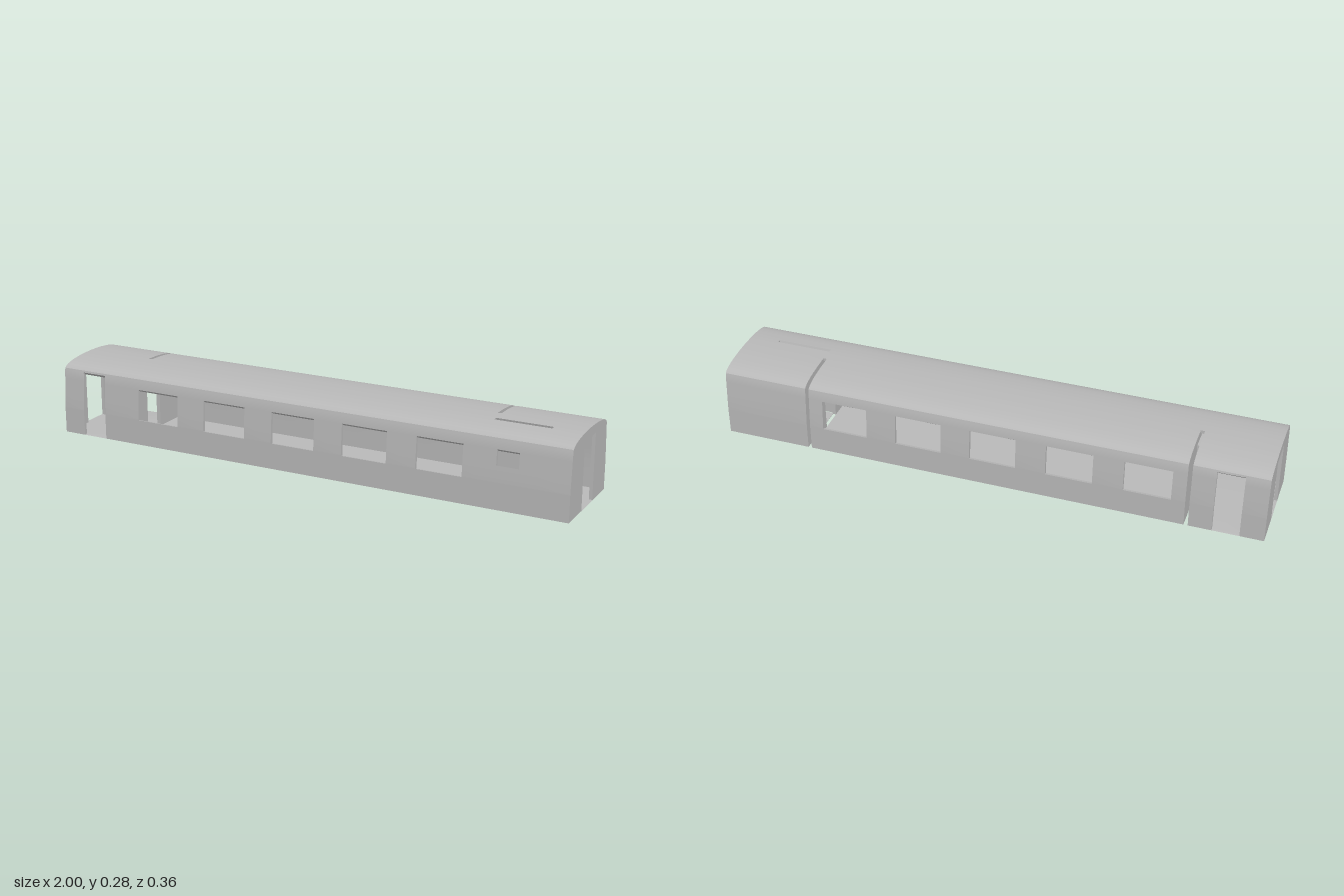
import * as THREE from 'three';
import { toCreasedNormals } from 'three/addons/utils/BufferGeometryUtils.js';

// Half cross-section as [z, y], from the roof ridge down the side to the floor centre
const half = [[0, 0.277], [0.05, 0.2755], [0.065, 0.2745], [0.1, 0.271], [0.125, 0.267], [0.148, 0.261],
  [0.16, 0.255], [0.166, 0.249], [0.168, 0.242], [0.1703, 0.21], [0.1742, 0.155], [0.178, 0.1],
  [0.178, 0.095], [0.178, 0], [0.065, 0], [0.05, 0], [0, 0]];
const ring = [...half, ...half.slice(0, -1).reverse().map(([z, y]) => [-z, y])];
const inset = ([z, y]) => [z * 0.935, 0.002 + y * 0.95];

const between = (v, a, b) => v > a && v < b;
const windows = [[-0.67, -0.5], [-0.39, -0.22], [-0.11, 0.06], [0.168, 0.34], [0.45, 0.62]];
const door = [-0.915, -0.818];
const smallWindow = [0.74, 0.82];
const slots = [[-0.735, -0.72], [0.672, 0.685]];
const closet = [0.685, 0.89], closetEnd = [0.877, 0.89];

// True where the shell is cut away
function isOpen(x, y, z) {
  const inside = ([a, b]) => between(x, a, b);
  const floor = y < 0.001, roof = y > 0.243;
  if (slots.some(inside) && (floor || z < 0)) return true;
  if ((floor || roof) && inside(closet) && between(z, 0.05, 0.065)) return true;
  if (floor) return inside(closetEnd) && z > 0.05;
  if (roof) return false;
  if (inside(door)) return true;
  if (between(y, 0.095, 0.21) && windows.some(inside)) return true;
  return z > 0 && between(y, 0.155, 0.21) && inside(smallWindow);
}

// Thick body shell swept along x, with openings and their reveals
function shellGeometry() {
  const cuts = [-1, 1, ...[...windows, door, smallWindow, ...slots, closet, closetEnd].flat()];
  const xs = [...new Set(cuts)].sort((a, b) => a - b);
  const inner = ring.map(inset);
  const n = ring.length - 1, m = xs.length - 1;
  const pos = [];
  const quad = (a, b, c, d) => pos.push(...a, ...b, ...c, ...a, ...c, ...d);
  const out = (i, j) => [xs[i], ring[j][1], ring[j][0]];
  const inn = (i, j) => [xs[i], inner[j][1], inner[j][0]];
  const solid = (i, j) => {
    if (i < 0 || i >= m) return true;
    const a = ring[(j + n) % n], b = ring[(j + n) % n + 1];
    return !isOpen((xs[i] + xs[i + 1]) / 2, (a[1] + b[1]) / 2, (a[0] + b[0]) / 2);
  };
  for (let i = 0; i < m; i++) {
    for (let j = 0; j < n; j++) {
      if (!solid(i, j)) continue;
      const k = i + 1, l = j + 1;
      quad(out(i, j), out(i, l), out(k, l), out(k, j));
      quad(inn(i, j), inn(k, j), inn(k, l), inn(i, l));
      if (!solid(i - 1, j)) quad(out(i, j), inn(i, j), inn(i, l), out(i, l));
      if (!solid(k, j)) quad(out(k, j), out(k, l), inn(k, l), inn(k, j));
      if (!solid(i, j - 1)) quad(out(i, j), out(k, j), inn(k, j), inn(i, j));
      if (!solid(i, l)) quad(out(i, l), inn(i, l), inn(k, l), out(k, l));
    }
  }
  const g = new THREE.BufferGeometry();
  g.setAttribute('position', new THREE.Float32BufferAttribute(pos, 3));
  return toCreasedNormals(g, 0.45);
}

// Cross-section outline with a doorway notch; shape x runs along -z after turning
function doorwayShape(points, w, h) {
  const side = points.slice(0, 14).map(([z, y]) => new THREE.Vector2(z, y));
  const base = side[13].y;
  const notch = [[w, base], [w, h], [-w, h], [-w, base]].map(p => new THREE.Vector2(...p));
  const other = side.slice(1).reverse().map(p => new THREE.Vector2(-p.x, p.y));
  return new THREE.Shape([...side, ...notch, ...other]);
}

export function createModel() {
  const model = new THREE.Group();
  model.name = 'railCarriage';
  const grey = new THREE.MeshStandardMaterial({ color: 0xb8b8b8, side: THREE.DoubleSide });
  grey.name = 'plain grey';
  const add = (name, geometry, x = 0, y = 0, z = 0) => {
    const mesh = new THREE.Mesh(geometry, grey);
    mesh.name = name;
    mesh.position.set(x, y, z);
    model.add(mesh);
    return mesh;
  };

  add('bodyShell', shellGeometry());

  // End walls with gangway doorways
  const endShape = doorwayShape(ring.map(([z, y]) => [z * 0.999, y * 0.999]), 0.055, 0.242);
  const endWall = new THREE.ExtrudeGeometry(endShape, { depth: 0.012, bevelEnabled: false }).rotateY(Math.PI / 2);
  add('leftEndWall', endWall, 0.988);
  add('rightEndWall', endWall, -1);

  // Hollow partitions, two sheets each, with door jambs and lintel
  const inner = half.map(inset);
  const sheet = new THREE.ShapeGeometry(doorwayShape(inner, 0.042, 0.242)).rotateY(Math.PI / 2);
  for (const [a, b] of slots) {
    add('partitionSheet', sheet, a);
    add('partitionSheet', sheet, b);
    for (const s of [-1, 1]) add('partitionJamb', new THREE.PlaneGeometry(b - a, 0.24), (a + b) / 2, 0.122, s * 0.042);
    add('partitionLintel', new THREE.PlaneGeometry(b - a, 0.084).rotateX(Math.PI / 2), (a + b) / 2, 0.242, 0);
  }

  // Closet: long wall beside the corridor and cross wall to the body side
  const [c0, c1] = closet;
  for (const z of [0.05, 0.065]) {
    add('closetLongWall', new THREE.PlaneGeometry(c1 - c0, 0.262), (c0 + c1) / 2, 0.133, z);
  }
  const crossPoints = inner.slice(1, 16).map(([z, y]) => new THREE.Vector2(-z, y));
  const cross = new THREE.ShapeGeometry(new THREE.Shape(crossPoints)).rotateY(Math.PI / 2);
  for (const x of closetEnd) add('closetCrossWall', cross, x);

  return model;
}
